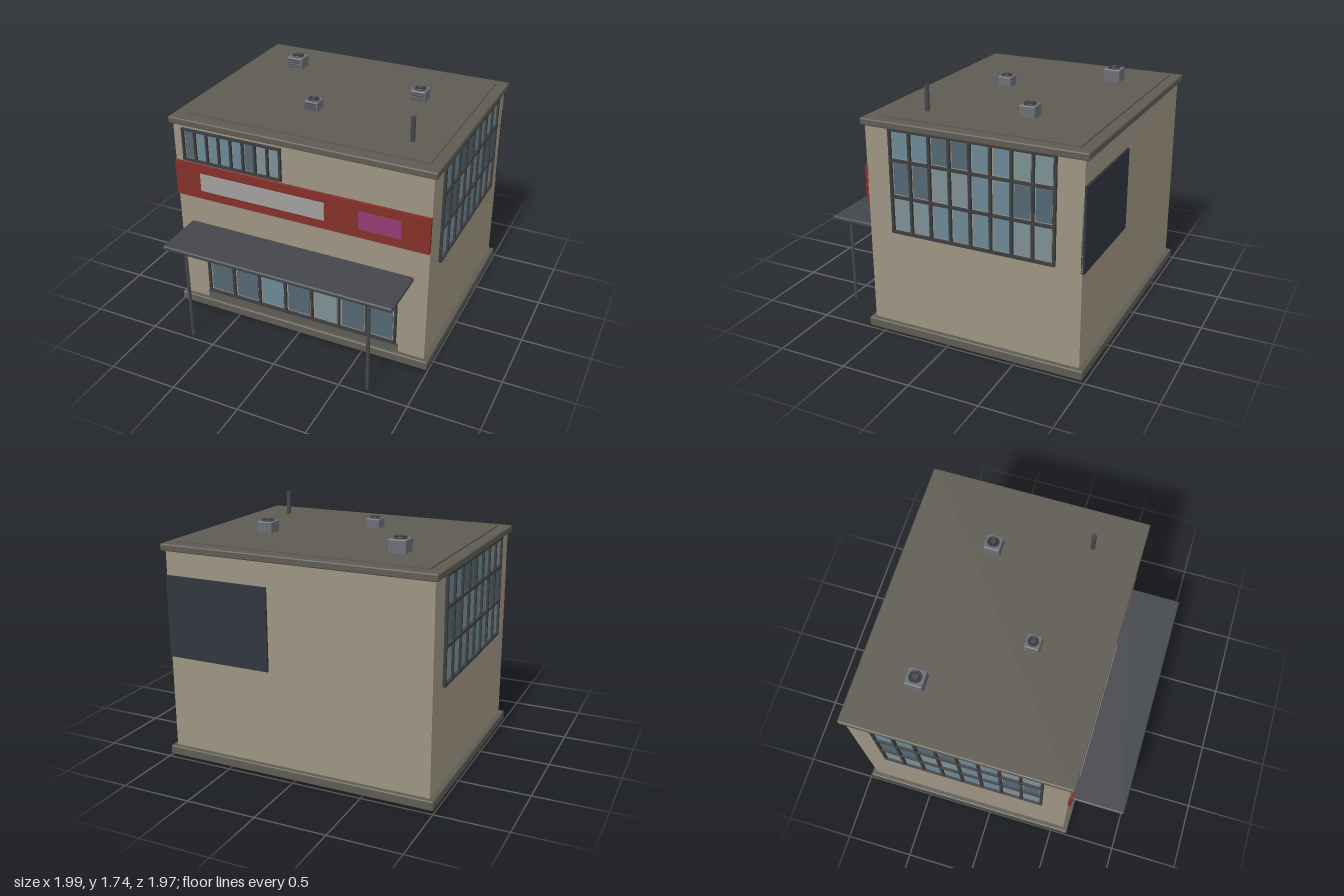
import * as THREE from 'three';
import { RoundedBoxGeometry } from 'three/addons/geometries/RoundedBoxGeometry.js';

const mat = (color) => new THREE.MeshStandardMaterial({ color });
const wallMat = mat(0x9c9382), trimMat = mat(0x5e5b52), frameMat = mat(0x3b3d40);
const metalMat = mat(0x43464c), unitMat = mat(0x6b6e74), darkMat = mat(0x2b2d31);
const redMat = mat(0x84302a), signMat = mat(0xa09f9c), magentaMat = mat(0x933a70);
const screenMat = mat(0x30353d);
const glass = { b: mat(0x6a8794), d: mat(0x536772), g: mat(0x7c8f94) };

function add(parent, name, geometry, material, x = 0, y = 0, z = 0) {
  const mesh = new THREE.Mesh(geometry, material);
  mesh.name = name;
  mesh.position.set(x, y, z);
  parent.add(mesh);
  return mesh;
}

// Box given by its limits on each axis; bevel > 0 softens the edges
function block(parent, name, material, [x0, x1], [y0, y1], [z0, z1], bevel = 0) {
  const size = [x1 - x0, y1 - y0, z1 - z0];
  const geometry = bevel ? new RoundedBoxGeometry(...size, 2, bevel) : new THREE.BoxGeometry(...size);
  return add(parent, name, geometry, material, (x0 + x1) / 2, (y0 + y1) / 2, (z0 + z1) / 2);
}

function rod(parent, name, material, r, x, y0, y1, z) {
  return add(parent, name, new THREE.CylinderGeometry(r, r, y1 - y0, 16), material, x, (y0 + y1) / 2, z);
}

// Window grid facing +z on the plane z = 0; rows lists its horizontal bars from
// bottom to top, tones gives one string of pane tints per row
function windowGrid(name, [x0, x1], rows, tones, bar, inset) {
  const g = new THREE.Group();
  g.name = name;
  const cols = tones[0].length, step = (x1 - x0) / cols, h = bar / 2;
  const bottom = rows[0], top = rows[rows.length - 1];
  for (let i = 0; i <= cols; i++) {
    const x = x0 + i * step;
    block(g, 'mullion', frameMat, [x - h, x + h], [bottom - h, top + h], [0, 0.018]);
  }
  rows.forEach((y, r) => {
    block(g, 'rail', frameMat, [x0 - h, x1 + h], [y - h, y + h], [0, 0.02]);
    if (r === rows.length - 1) return;
    for (let i = 0; i < cols; i++) {
      const x = x0 + i * step, gap = h + inset;
      block(g, 'pane', glass[tones[r][i]], [x + gap, x + step - gap], [y + gap, rows[r + 1] - gap], [0, 0.006]);
    }
  });
  return g;
}

// Rooftop ventilator: louvred housing with a round fan on top
function roofUnit(x, z, w, h) {
  const g = new THREE.Group();
  g.name = 'roofUnit';
  g.position.set(x, 1.555, z);
  block(g, 'housing', unitMat, [-w / 2, w / 2], [0, h], [-w / 2, w / 2], 0.008);
  for (let i = 0; i < 4; i++) {
    const y = h * (0.2 + 0.19 * i);
    block(g, 'louvre', metalMat, [-w * 0.42, w * 0.42], [y, y + 0.006], [w / 2 - 0.002, w / 2 + 0.004]);
  }
  const r = w * 0.31;
  const ring = add(g, 'fanRing', new THREE.TorusGeometry(r, 0.007, 8, 24), frameMat, 0, h + 0.004, 0);
  ring.rotation.x = Math.PI / 2;
  rod(g, 'fan', darkMat, r, 0, h - 0.002, h + 0.007, 0);
  rod(g, 'fanHub', metalMat, r * 0.55, 0, h, h + 0.014, 0);
  return g;
}

export function createModel() {
  const model = new THREE.Group();
  model.name = 'shopBuilding';

  // Shell
  block(model, 'plinth', trimMat, [-0.995, 0.995], [0.01, 0.078], [-0.985, 0.625], 0.01);
  block(model, 'walls', wallMat, [-0.96, 0.96], [0.05, 1.51], [-0.95, 0.59]);
  block(model, 'roofEdge', trimMat, [-0.985, 0.985], [1.5, 1.55], [-0.98, 0.615], 0.01);
  block(model, 'roofDeck', trimMat, [-0.905, 0.905], [1.54, 1.56], [-0.9, 0.52]);

  // Front windows
  const shop = windowGrid('shopWindow', [-0.748, 0.742], [0.153, 0.657], ['ddbdgdd'], 0.018, 0.012);
  const upper = windowGrid('upperWindow', [-0.882, -0.122], [1.238, 1.468], ['dbbbbdgg'], 0.016, 0.008);
  for (const w of [shop, upper]) {
    w.position.z = 0.59;
    model.add(w);
  }
  block(model, 'windowSill', trimMat, [-0.77, 0.765], [0.075, 0.145], [0.58, 0.602]);

  // Matching side windows
  for (const side of [1, -1]) {
    const w = windowGrid('sideWindow', [-0.582, 0.582], [0.778, 1.033, 1.288, 1.497],
      ['ggbbbbgg', 'ddggbbdd', 'bbddbbgg'], 0.018, 0.009);
    w.rotation.y = side * Math.PI / 2;
    w.position.set(side * 0.96, 0, -0.182);
    model.add(w);
  }

  // Sign band with two blank panels
  block(model, 'signBand', redMat, [-0.96, 0.96], [0.947, 1.215], [0.585, 0.61]);
  block(model, 'signPanel', signMat, [-0.755, 0.21], [1.015, 1.15], [0.6, 0.616]);
  block(model, 'smallSignPanel', magentaMat, [0.46, 0.765], [1.015, 1.15], [0.6, 0.616]);

  // Canopy on two posts
  block(model, 'canopy', metalMat, [-0.865, 0.86], [0.702, 0.735], [0.59, 0.985], 0.012);
  block(model, 'canopyBracket', metalMat, [-0.785, 0.775], [0.675, 0.704], [0.58, 0.602]);
  for (const x of [-0.692, 0.692]) rod(model, 'canopyPost', metalMat, 0.012, x, 0, 0.675, 0.955);

  // Dark panel on the back wall
  block(model, 'backPanel', screenMat, [0.19, 0.96], [0.752, 1.33], [-0.965, -0.94]);

  // Rooftop equipment
  model.add(roofUnit(-0.58, -0.57, 0.125, 0.095));
  model.add(roofUnit(0.495, -0.38, 0.115, 0.085));
  model.add(roofUnit(-0.12, 0.085, 0.104, 0.073));
  rod(model, 'flue', metalMat, 0.016, 0.69, 1.55, 1.735, 0.275);

  return model;
}
